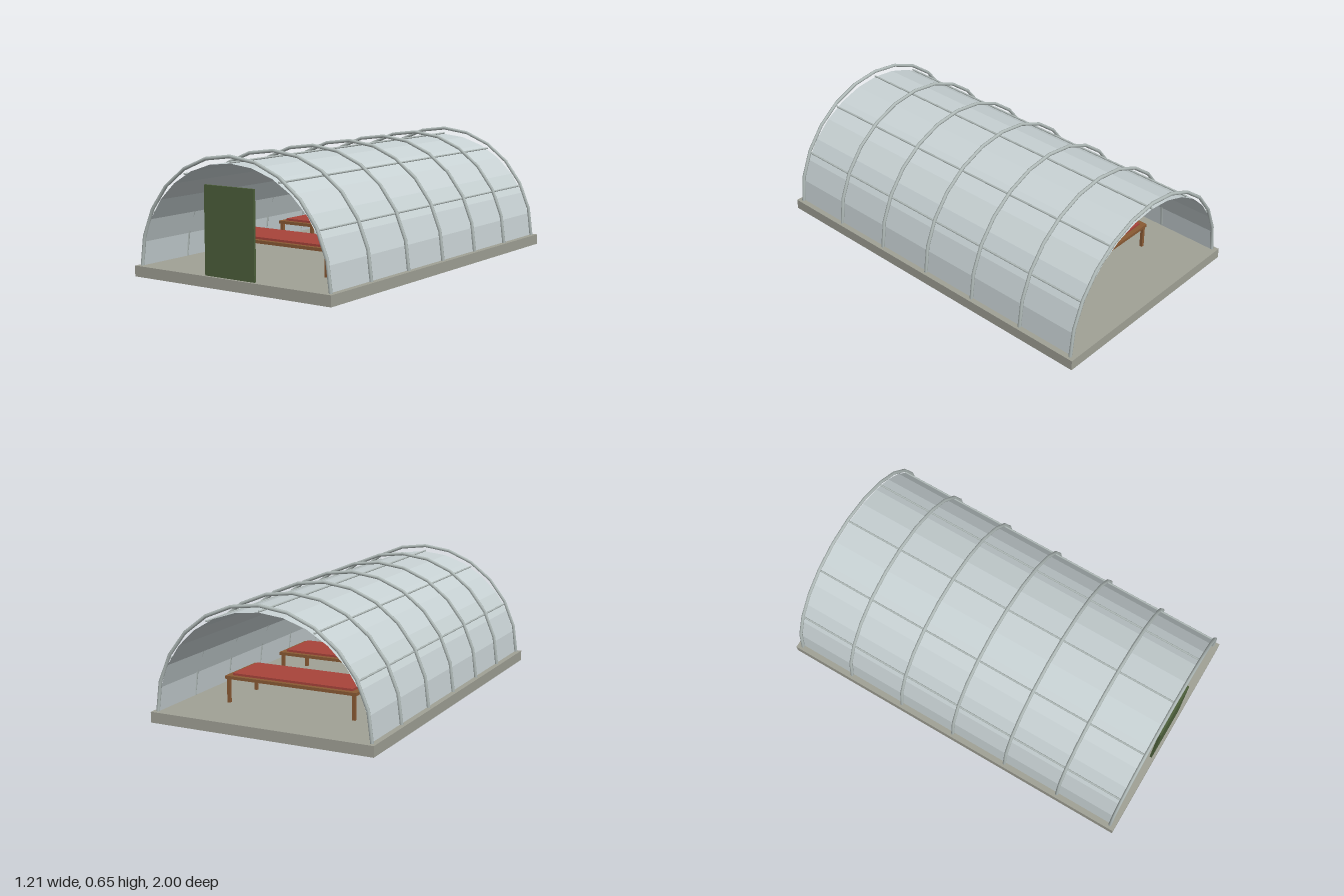
import * as THREE from 'three';

const mat = (name, color, extra = {}) => {
  const m = new THREE.MeshStandardMaterial({ color, ...extra });
  m.name = name;
  return m;
};

export function createModel() {
  const concrete = mat('concrete', 0xa0a196);
  const film = mat('cover film', 0xc8d2d4, { side: THREE.DoubleSide, flatShading: true });
  const metal = mat('galvanised metal', 0xb0bab8);
  const green = mat('door green', 0x4d603b);
  const wood = mat('wood', 0x8a5a34);
  const red = mat('red bed', 0xa8443a);

  const model = new THREE.Group();
  model.name = 'tunnelGreenhouse';
  const FLOOR = 0.055, R = 0.582;

  const add = (name, geo, material, x, y, z, parent = model) => {
    const mesh = new THREE.Mesh(geo, material);
    mesh.name = name;
    mesh.position.set(x, y, z);
    parent.add(mesh);
    return mesh;
  };
  const box = (w, h, d) => new THREE.BoxGeometry(w, h, d);

  // Base slab
  add('baseSlab', box(1.21, FLOOR, 2), concrete, 0, FLOOR / 2, 0);

  // Faceted half-barrel cover, slightly flattened and open at both ends
  const cover = new THREE.CylinderGeometry(0.575, 0.575, 1.94, 14, 1, true, -Math.PI / 2, Math.PI);
  cover.rotateX(-Math.PI / 2);
  cover.scale(1, 0.548 / 0.575, 1);
  add('cover', cover, film, 0, FLOOR, 0);

  // Seven hoops over the cover
  const hoop = new THREE.TorusGeometry(R, 0.009, 8, 12, Math.PI);
  for (let i = -3; i <= 3; i++) add('hoop', hoop, metal, 0, FLOOR, i * 0.3235);

  // Lengthwise rails every 30 degrees
  const rail = new THREE.CylinderGeometry(0.005, 0.005, 1.94, 8);
  rail.rotateX(Math.PI / 2);
  for (let i = 1; i <= 5; i++) {
    const a = (i * Math.PI) / 6;
    add('rail', rail, metal, 0.58 * Math.cos(a), FLOOR + 0.553 * Math.sin(a), 0);
  }

  // Front door
  add('door', box(0.304, 0.44, 0.013), green, 0, FLOOR + 0.22, 0.979);

  // Three benches down the middle
  for (const z of [-0.55, 0, 0.55]) {
    const bench = new THREE.Group();
    bench.name = 'bench';
    bench.position.z = z;
    model.add(bench);
    add('benchTop', box(0.73, 0.016, 0.29), wood, 0, 0.186, 0, bench);
    add('benchBed', box(0.67, 0.011, 0.24), red, 0, 0.1995, 0, bench);
    for (const sx of [-1, 1])
      for (const sz of [-1, 1])
        add('benchLeg', box(0.016, 0.123, 0.016), wood, sx * 0.35, FLOOR + 0.0615, sz * 0.132, bench);
  }

  return model;
}
